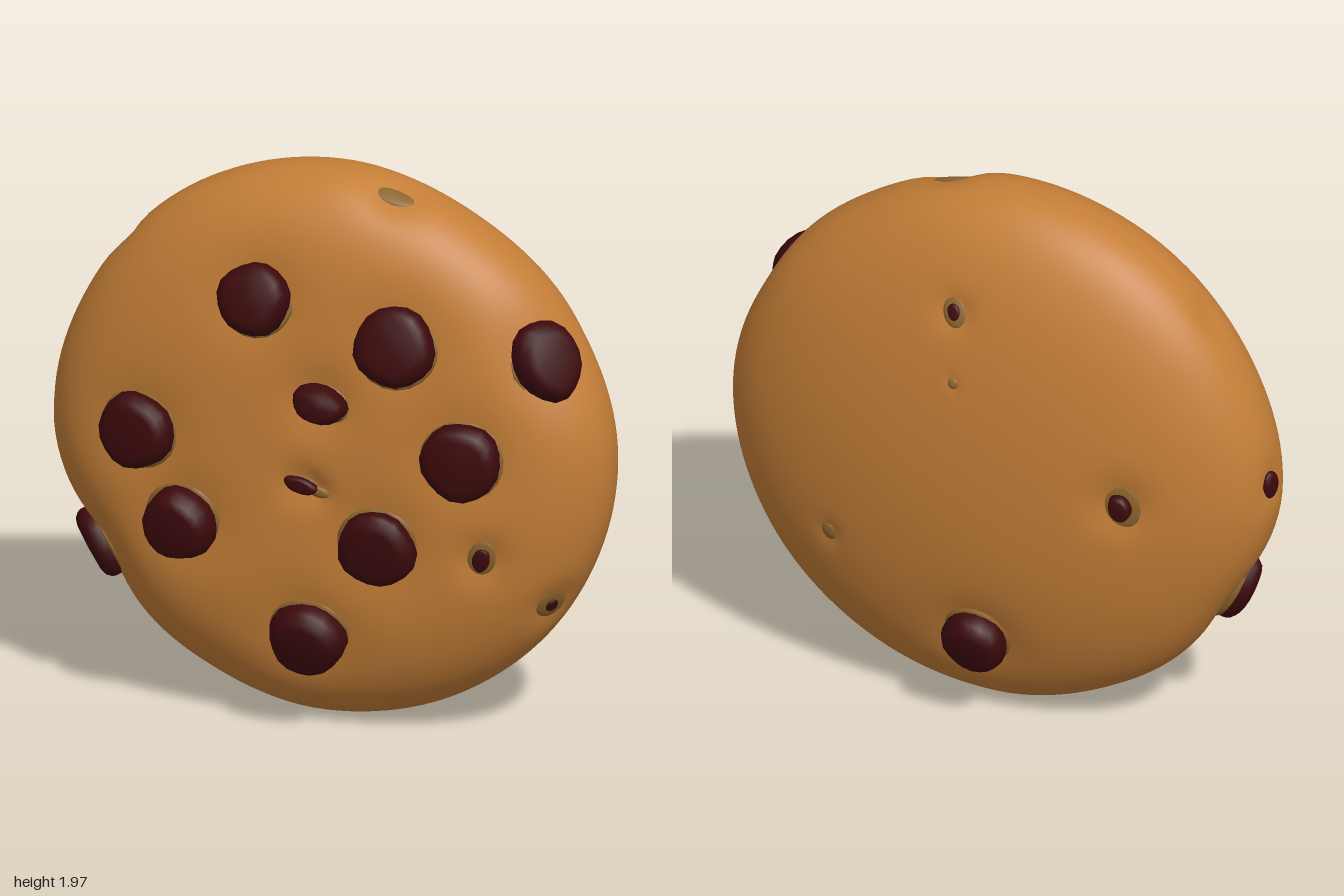
import * as THREE from 'three';
import { mergeVertices } from 'three/addons/utils/BufferGeometryUtils.js';

const CENTRE_Y = 0.995;
const LINING = 1.07;
const dough = new THREE.MeshStandardMaterial({ color: 0xc47e37 });
const crumb = new THREE.MeshStandardMaterial({ color: 0x8c642e });
const chocolate = new THREE.MeshStandardMaterial({ color: 0x3c090c });
dough.name = 'bakedDough';
crumb.name = 'darkCrumb';
chocolate.name = 'chocolate';

// Cross-section: thick rounded rim, deep domed back and flatter front
function faceZ(r, side) {
  return side > 0
    ? 0.3 * Math.pow(1 - Math.pow(r, 4.2), 0.5)
    : -0.385 * Math.pow(1 - r * r, 0.42);
}

// Uneven outline: radius every 30 degrees, anticlockwise from +x
const OUTLINE = [1, 0.985, 0.965, 0.982, 0.98, 0.972, 0.985, 0.945, 0.96, 0.985, 0.99, 0.995];
function outlineAt(angle) {
  const t = (angle / (Math.PI * 2) + 1) * OUTLINE.length;
  const i = Math.floor(t);
  const f = THREE.MathUtils.smoothstep(t - i, 0, 1);
  return THREE.MathUtils.lerp(OUTLINE[i % OUTLINE.length], OUTLINE[(i + 1) % OUTLINE.length], f);
}

// A spot is a dent with a crumb lining, holding a chip where height > 0
function spot(pos, normal, up, rx, ry, height, lining) {
  const size = Math.max(rx, ry) * lining;
  const depth = Math.min(0.03, size * 0.35);
  return { pos, normal: normal.normalize(), up, rx, ry, height, lining, size, depth };
}

// On the front (side 1) or back (side -1) face, leaning gently outwards
function faceSpot(side, x, y, rx, ry, height, lining = LINING) {
  const dy = y - CENTRE_Y;
  const pos = new THREE.Vector3(x, y, faceZ(Math.hypot(x, dy), side));
  const normal = new THREE.Vector3(0.2 * x, 0.55 * dy, side);
  return spot(pos, normal, new THREE.Vector3(0.25, 1, 0), rx, ry, height, lining);
}

// On the rim, with ry running along the outline
function rimSpot(x, y, z, rx, ry, height, lining = LINING) {
  const normal = new THREE.Vector3(x, y - CENTRE_Y, 0).normalize();
  const up = new THREE.Vector3(-normal.y, normal.x, 0);
  normal.z = z * 6;
  return spot(new THREE.Vector3(x, y, z), normal, up, rx, ry, height, lining);
}

// Round chips on the front: x, y, radius, height
const ROUND_CHIPS = [
  [-0.19, 1.565, 0.126, 0.08], [0.31, 1.45, 0.14, 0.07], [0.545, 1.06, 0.138, 0.06], [-0.61, 1.04, 0.133, 0.065],
  [-0.45, 0.73, 0.128, 0.085], [0.25, 0.715, 0.136, 0.055], [0, 0.36, 0.134, 0.08],
];

const SPOTS = [
  ...ROUND_CHIPS.map(([x, y, r, h]) => faceSpot(1, x, y, r, r, h)),
  // Broken pieces on the front
  faceSpot(1, 0.05, 1.22, 0.095, 0.065, 0.075),
  faceSpot(1, -0.02, 0.915, 0.06, 0.028, 0.015),
  faceSpot(1, 0.04, 0.895, 0.04, 0.02, 0, 1),
  faceSpot(1, 0.61, 0.7, 0.03, 0.045, 0.01, 1.6),
  // Chips and pits on the back
  faceSpot(-1, 0, 0.345, 0.112, 0.12, 0.07),
  faceSpot(-1, -0.54, 1, 0.04, 0.05, 0.03, 1.7),
  faceSpot(-1, 0.08, 1.62, 0.022, 0.03, 0.01, 1.9),
  faceSpot(-1, 0.06, 1.37, 0.02, 0.02, 0, 1),
  faceSpot(-1, 0.54, 0.64, 0.028, 0.035, 0, 1),
  // Chips and pits around the rim
  rimSpot(0.795, 1.4, 0.125, 0.12, 0.145, 0.075),
  rimSpot(-0.8, 0.54, 0.08, 0.1, 0.13, 0.045),
  rimSpot(-0.97, 1.04, -0.04, 0.035, 0.05, 0.018),
  rimSpot(0.82, 0.51, 0.12, 0.022, 0.025, 0.01, 2.5),
  rimSpot(0.24, 1.922, 0.07, 0.035, 0.08, 0, 1),
  rimSpot(-0.72, 1.62, 0, 0.012, 0.05, 0, 1),
];

// Turn a profile about z and drop the seam, so it can be reshaped
function turned(points, segments) {
  const geo = new THREE.LatheGeometry(points, segments);
  geo.rotateX(Math.PI / 2);
  geo.deleteAttribute('uv');
  geo.deleteAttribute('normal');
  return mergeVertices(geo, 1e-5);
}

// Cookie body: uneven rim and a dent at every spot
function makeBody() {
  const points = [];
  const STEPS = 48;
  for (let i = -STEPS; i <= STEPS; i++) {
    const r = Math.cos((i / STEPS) * Math.PI / 2);
    points.push(new THREE.Vector2(Math.abs(i) === STEPS ? 0 : r, i === 0 ? 0 : faceZ(r, i)));
  }
  const geo = turned(points, 144);
  const pos = geo.attributes.position;
  const p = new THREE.Vector3();
  for (let i = 0; i < pos.count; i++) {
    p.fromBufferAttribute(pos, i);
    const k = 1 + (outlineAt(Math.atan2(p.y, p.x)) - 1) * (p.x * p.x + p.y * p.y);
    p.set(p.x * k, p.y * k + CENTRE_Y, p.z);
    const base = p.clone();
    for (const s of SPOTS) {
      const d = base.distanceTo(s.pos) / (s.size * 1.2);
      p.addScaledVector(s.normal, -s.depth * Math.exp(-d * d));
    }
    pos.setXYZ(i, p.x, p.y, p.z);
  }
  geo.computeVertexNormals();
  return geo;
}

// Rounded chocolate disc facing +z, slightly irregular
function makeChip({ rx, ry, height: h, pos: { x: seed } }) {
  const profile = [[0, -0.05], [0.8, -0.05], [1, -0.015], [1, h * 0.2], [0.96, h * 0.5], [0.84, h * 0.84], [0.64, h], [0, h * 1.05]];
  const geo = turned(profile.map(([r, z]) => new THREE.Vector2(r, z)), 18);
  const pos = geo.attributes.position;
  for (let i = 0; i < pos.count; i++) {
    const a = Math.atan2(pos.getY(i), pos.getX(i));
    const k = 1 + 0.025 * Math.sin(3 * a + seed * 9) + 0.02 * Math.sin(5 * a + seed * 5);
    pos.setXY(i, pos.getX(i) * rx * k, pos.getY(i) * ry * k);
  }
  geo.computeVertexNormals();
  return geo;
}

// Dent lining with its chip, turned to face out of the dough
function makeSpot(s) {
  const group = new THREE.Group();
  group.name = s.height > 0 ? 'chocolateChip' : 'pit';
  const snug = s.lining === LINING;
  const lining = new THREE.Mesh(new THREE.SphereGeometry(1, 20, 10), crumb);
  lining.name = 'crumbLining';
  lining.scale.set(s.rx * s.lining, s.ry * s.lining, snug ? 0.025 : 0.011);
  lining.position.z = -s.depth * 0.8;
  group.add(lining);
  if (s.height > 0) {
    const chip = new THREE.Mesh(makeChip(s), chocolate);
    chip.name = 'chip';
    chip.position.z = snug ? 0 : -s.depth * 0.4;
    group.add(chip);
  }
  group.position.copy(s.pos);
  group.up.copy(s.up);
  group.lookAt(s.pos.clone().add(s.normal));
  return group;
}

export function createModel() {
  const model = new THREE.Group();
  model.name = 'cookie';
  const body = new THREE.Mesh(makeBody(), dough);
  body.name = 'cookieBody';
  model.add(body, ...SPOTS.map(makeSpot));
  return model;
}
